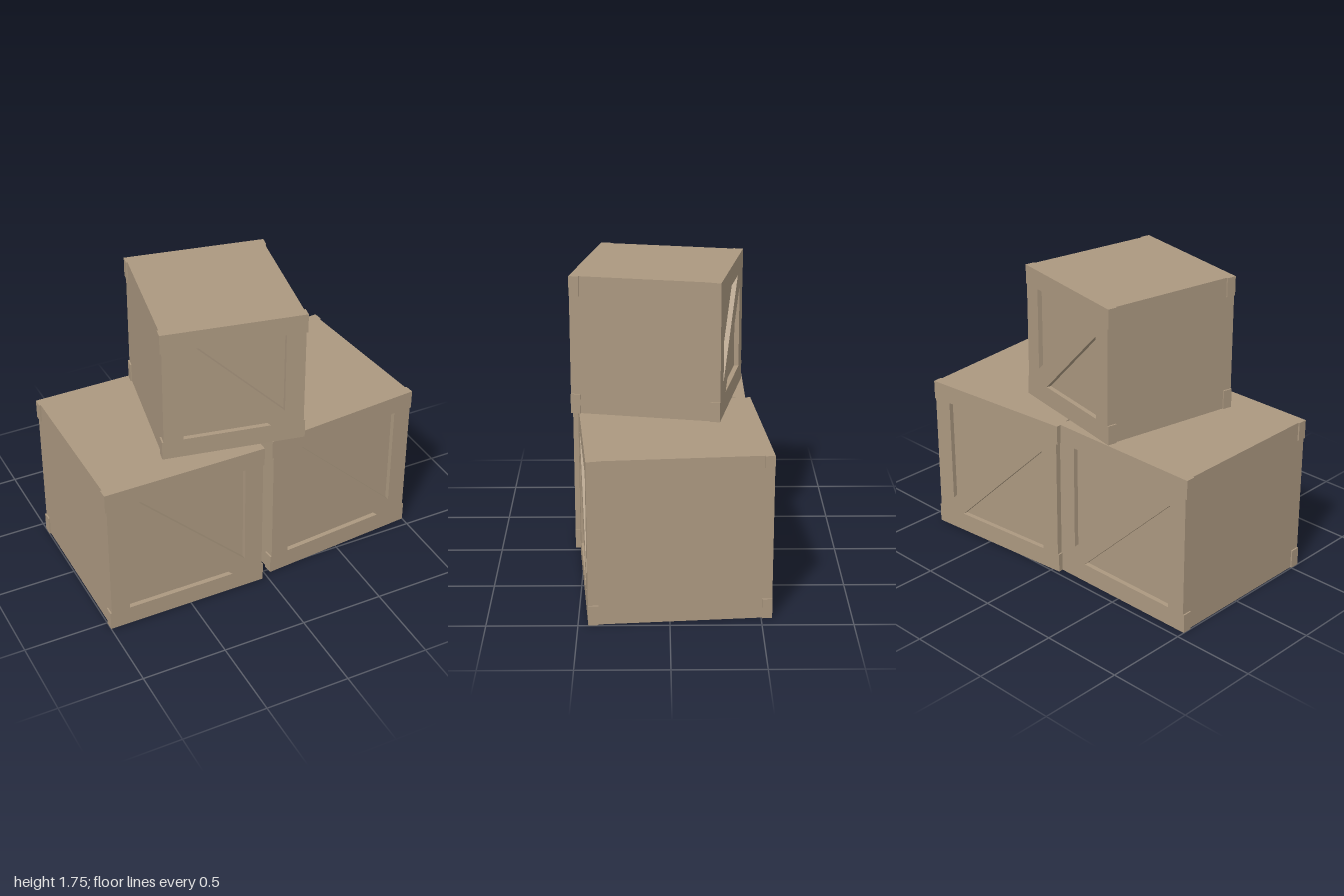
import * as THREE from 'three';

// Plank sizes, the same on every crate
const RAIL = 0.114;   // height of the rail ends
const BORDER = 0.12;  // frame width left and right of the recesses
const BRACE = 0.079;  // horizontal offset of the diagonal brace
const INSET = 0.009;  // sides sit inside the rail ends
const RECESS = 0.028; // depth of the triangular recesses
const FRAME = 0.056;  // full thickness of a framed end

const wood = new THREE.MeshStandardMaterial({ color: 0xab9880 });
wood.name = 'wood';

const toPoints = (list) => list.map(([x, y]) => new THREE.Vector2(x, y));

// Outline of a framed end: the rail ends stick out at the four corners
function endShape(w, h) {
  const a = w / 2, b = a - INSET, t = h - RAIL;
  return new THREE.Shape(toPoints([
    [-a, 0], [a, 0], [a, RAIL], [b, RAIL], [b, t], [a, t], [a, h],
    [-a, h], [-a, t], [-b, t], [-b, RAIL], [-a, RAIL],
  ]));
}

// Same outline with the two triangles either side of the diagonal brace
function frameShape(w, h) {
  const shape = endShape(w, h);
  const x = w / 2 - BORDER, y0 = RAIL, y1 = h - 0.111;
  const triangles = [
    [[-x, y0], [-x, y1 - 0.084], [x - BRACE, y0]],
    [[x, y1], [x, y0 + 0.086], [-x + BRACE, y1]],
  ];
  for (const tri of triangles) shape.holes.push(new THREE.Path(toPoints(tri)));
  return shape;
}

function slab(shape, depth, z, name) {
  const geometry = new THREE.ExtrudeGeometry(shape, { depth, bevelEnabled: false });
  geometry.translate(0, 0, z);
  const mesh = new THREE.Mesh(geometry, wood);
  mesh.name = name;
  return mesh;
}

function crate(name, [w, h, d], [x, y, z], turn) {
  const group = new THREE.Group();
  group.name = name;

  // Plain box between the framed ends
  const body = new THREE.Mesh(
    new THREE.BoxGeometry(w - 2 * INSET, h, d - 2 * FRAME), wood);
  body.name = 'crateBody';
  body.position.y = h / 2;
  group.add(body);

  // Solid backing and cut-out frame at the front and the back
  const backing = FRAME - RECESS;
  group.add(
    slab(endShape(w, h), backing, d / 2 - FRAME, 'frontPanel'),
    slab(frameShape(w, h), RECESS, d / 2 - RECESS, 'frontFrame'),
    slab(endShape(w, h), backing, -d / 2 + RECESS, 'backPanel'),
    slab(frameShape(w, h), RECESS, -d / 2, 'backFrame'));

  group.position.set(x, y, z);
  group.rotation.y = turn;
  return group;
}

export function createModel() {
  const large = [0.968, 0.95, 1.008], small = [0.82, 0.802, 0.858];
  const model = new THREE.Group();
  model.name = 'crateStack';
  model.add(
    crate('rightCrate', large, [-0.516, 0, 0.054], 0),
    crate('leftCrate', large, [0.475, 0, -0.018], 0.084),
    crate('topCrate', small, [-0.098, large[1], 0.056], -0.196));
  return model;
}
